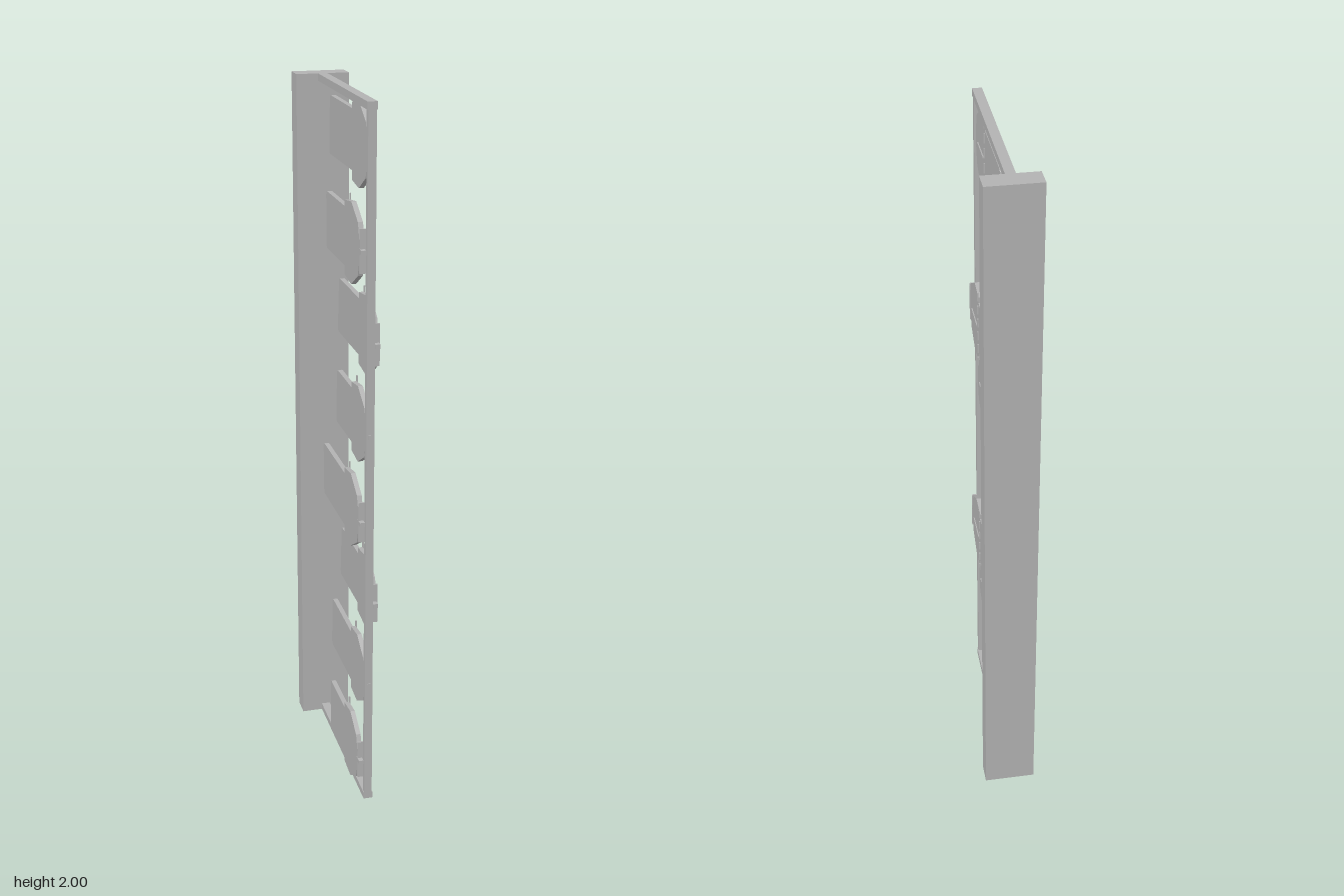
import * as THREE from 'three';

export function createModel() {
  const model = new THREE.Group();
  const grey = new THREE.MeshStandardMaterial({ color: 0xb2b2b2 });
  grey.name = 'grey';

  // Box given by its min/max extents on each axis
  function box(name, parent, [x0, x1], [y0, y1], [z0, z1]) {
    const mesh = new THREE.Mesh(new THREE.BoxGeometry(x1 - x0, y1 - y0, z1 - z0), grey);
    mesh.position.set((x0 + x1) / 2, (y0 + y1) / 2, (z0 + z1) / 2);
    mesh.name = name;
    parent.add(mesh);
    return mesh;
  }

  // Frame: wide rear post, slim front bar, rails at top and bottom
  box('rearPost', model, [-0.074, 0.074], [0, 2], [-0.285, -0.226]);
  box('frontBar', model, [-0.011, 0.011], [0.02, 1.98], [0.267, 0.283]);
  box('topRail', model, [-0.013, 0.013], [1.98, 2], [-0.285, 0.283]);
  box('bottomRail', model, [-0.013, 0.013], [0, 0.02], [-0.285, 0.283]);

  // Tag outline: faceted head at the front, narrower tongue to the rear
  const thick = 0.0135;
  function tagGeometry(endTop, endBottom) {
    const s = new THREE.Shape();
    const r = 0.012;
    s.moveTo(-0.262, 0.02);
    [[-0.245, 0.07], [-0.18, 0.109], [-0.113, 0.1], [-0.113, 0.083]].forEach(([u, v]) => s.lineTo(u, v));
    s.lineTo(-endTop - r, 0.083);
    s.quadraticCurveTo(-endTop, 0.083, -endTop, 0.083 - r);
    s.lineTo(-endBottom, -0.075 + r);
    s.quadraticCurveTo(-endBottom, -0.075, -endBottom - r, -0.075);
    [[-0.113, -0.075], [-0.113, -0.1], [-0.18, -0.108], [-0.245, -0.07], [-0.262, -0.02]].forEach(([u, v]) => s.lineTo(u, v));
    s.closePath();
    const g = new THREE.ExtrudeGeometry(s, { depth: thick, bevelEnabled: false, curveSegments: 3 });
    g.translate(0, 0, -thick / 2);
    return g.rotateY(Math.PI / 2);
  }

  // Rear end of each tongue (z at its top and bottom corner), lowest first
  const ends = [
    [-0.054, -0.055], [-0.107, -0.113], [-0.072, -0.083], [-0.13, -0.126],
    [-0.048, -0.055], [-0.1, -0.112], [-0.086, -0.084], [-0.12, -0.128],
  ];

  ends.forEach(([top, bottom], i) => {
    const unit = new THREE.Group();
    unit.name = 'tagUnit' + (i + 1);
    const side = (i % 3) - 1;
    unit.position.set(side * 0.0195, 0.125 + i * 0.25, 0);

    const tag = new THREE.Mesh(tagGeometry(top, bottom), grey);
    tag.name = 'tag';
    unit.add(tag);

    // Thin crease on the head and a dashed ridge along the neck
    const face = thick / 2;
    box('headCrease', unit, [face, face + 0.003], [-0.0015, 0.0015], [0.13, 0.225]);
    for (let k = 0; k < 6; k++) {
      const y = -0.115 + k * 0.041;
      box('neckDash', unit, [face, face + 0.004], [y, y + 0.026], [0.109, 0.113]);
    }

    // Pin through the front bar, with a clip on the offset tags
    const pinX = side * 0.0035;
    box('pin', unit, [-0.005 - Math.abs(pinX), 0.005], [-0.006, 0.006], [0.258, 0.285]);
    if (side) box('clip', unit, [-0.008, 0.008], [-0.058, 0.058], [0.264, 0.269]);
    model.add(unit);
  });

  return model;
}
